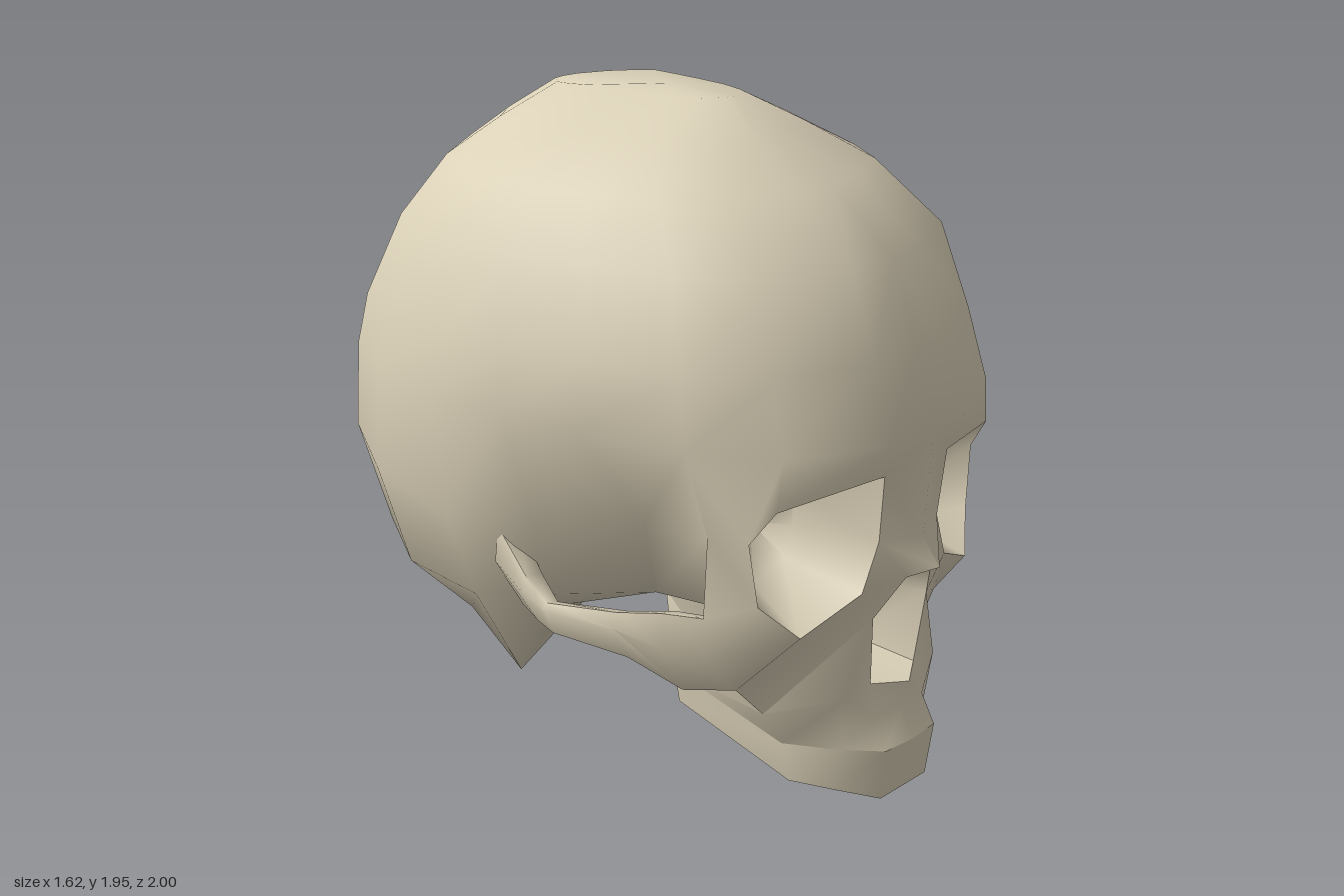
import * as THREE from 'three';
import { toCreasedNormals } from 'three/addons/utils/BufferGeometryUtils.js';

const bone = new THREE.MeshStandardMaterial({ color: 0xdbd1b8, side: THREE.DoubleSide });

// Triangles between rows of points; rows run downward, columns rightward as seen from outside
function loft(rows, closed = false) {
  const tris = [];
  const add = (a, b, c) => {
    const [A, B, C] = [a, b, c].map((p) => new THREE.Vector3(...p));
    if (B.clone().sub(A).cross(C.clone().sub(A)).length() > 1e-6) tris.push([a, b, c]);
  };
  for (let i = 0; i < rows.length - 1; i++) {
    const up = rows[i], down = rows[i + 1], n = up.length;
    for (let j = 0; j < (closed ? n : n - 1); j++) {
      const k = (j + 1) % n;
      add(up[j], down[j], down[k]);
      add(up[j], down[k], up[k]);
    }
  }
  return tris;
}

// Joins patches of the left half with their mirror image into one smooth mesh
function symmetric(name, crease, ...patches) {
  const pos = [];
  for (const t of patches.flat()) {
    for (const p of t) pos.push(...p);
    for (const p of [t[0], t[2], t[1]]) pos.push(-p[0], p[1], p[2]);
  }
  const g = new THREE.BufferGeometry();
  g.setAttribute('position', new THREE.Float32BufferAttribute(pos, 3));
  const mesh = new THREE.Mesh(toCreasedNormals(g, crease), bone);
  mesh.name = name;
  return mesh;
}

// Moves a loop towards a point, for hollows
const shrink = (loop, c, s) => loop.map((p) => p.map((v, i) => c[i] + (v - c[i]) * s[i]));
const fill = (loop, c) => loop.map(() => c);

// Half outline of the braincase seen from above, from brow to back of head
const outline = [[0, 0.97], [0.18, 0.95], [0.48, 0.82], [0.63, 0.6], [0.72, 0.3], [0.775, 0.05],
  [0.81, -0.18], [0.73, -0.48], [0.6, -0.72], [0.26, -0.96], [0, -1]];

// One ring of the vault; its front can be lowered and its back dropped
function level(y, front, back, width, tilt = 0, drop = 0) {
  return outline.map(([x, z]) => {
    const d = z + 0.18;
    const nz = -0.18 + (d > 0 ? (d / 1.15) * (front + 0.18) : (d / 0.82) * (-0.18 - back));
    return [(x * width) / 0.81, y - tilt * Math.max(0, d) - drop * Math.max(0, -d), nz];
  });
}

export function createModel() {
  const skull = new THREE.Group();
  skull.name = 'skull';

  // Braincase: vault rings, then temple, lower and base rings behind the face
  const vault = [
    level(1.945, 0.25, -0.41, 0.15, 0, 0.03),
    level(1.855, 0.41, -0.54, 0.36, 0, 0.03),
    level(1.745, 0.6, -0.64, 0.57),
    level(1.57, 0.81, -0.78, 0.71),
    level(1.32, 0.9, -0.94, 0.775),
    level(1.17, 0.965, -0.97, 0.81, 0.06),
  ];
  vault.unshift(fill(outline, [0, 1.95, 0]));
  const brow = vault[vault.length - 1];
  const temple = [[0.56, 0.87, 0.62], [0.52, 0.83, 0.36], [0.68, 0.82, 0.08], [0.775, 0.8, -0.16],
    [0.725, 0.85, -0.5], [0.58, 0.9, -0.74], [0.26, 0.94, -0.95], [0, 0.95, -1]];
  const lower = [[0.42, 0.6, 0.56], [0.38, 0.56, 0.28], [0.6, 0.56, 0.05], [0.71, 0.55, -0.12],
    [0.67, 0.56, -0.43], [0.5, 0.58, -0.69], [0.24, 0.6, -0.88], [0, 0.61, -0.93]];
  const base = [[0.28, 0.52, 0.48], [0.24, 0.5, 0.2], [0.45, 0.46, -0.02], [0.53, 0.25, -0.12],
    [0.47, 0.36, -0.38], [0.31, 0.37, -0.51], [0.15, 0.36, -0.5], [0, 0.37, -0.52]];
  const midline = base.map(([, , z]) => [0, z > -0.3 ? 0.5 : 0.4, z]);
  midline[7] = base[7];

  // Shared points of the face
  const noseTip = [0, 0.71, 1], noseSide = [0.06, 0.68, 0.93], noseWide = [0.13, 0.56, 0.87];
  const noseFoot = [0.105, 0.345, 0.85], noseSpine = [0, 0.335, 0.91];
  const cheekTop = [0.6, 0.65, 0.64], cheekMid = [0.6, 0.54, 0.66], cheekLow = [0.48, 0.4, 0.66];
  const jawBack = [0.24, 0.5, 0.2];

  // Eye socket rim, clockwise from the nose, with the face around it
  const rim = [[0.14, 0.8, 0.89], [0.15, 1, 0.91], [0.5, 0.97, 0.81], [0.53, 0.87, 0.74],
    [0.5, 0.68, 0.75], [0.4, 0.575, 0.82], [0.2, 0.66, 0.88]];
  const rimSteps = [0, 1, 1, 2, 3, 3, 4, 4, 5, 6, 6, 0].map((i) => rim[i]);
  const frame = [[0, 0.79, 0.94], brow[0], brow[1], brow[2], brow[3], temple[0], cheekTop, cheekMid, cheekLow,
    noseWide, noseSide, noseTip];

  // Upper jaw and tooth row
  const jawTop = [noseSpine, noseFoot, noseWide, cheekLow, jawBack];
  const jawMid = [[0, 0.25, 0.89], [0.11, 0.25, 0.88], [0.22, 0.33, 0.84], [0.37, 0.29, 0.67], [0.29, 0.39, 0.26]];
  const gum = [[0, 0.16, 0.93], [0.12, 0.16, 0.92], [0.205, 0.165, 0.82], [0.295, 0.175, 0.68], [0.32, 0.3, 0.3]];
  const biting = [[0, 0, 0.9], [0.11, 0, 0.9], [0.2, 0.03, 0.8], [0.285, 0.06, 0.7], [0.31, 0.2, 0.31]];
  const inner = [[0, 0.04, 0.8], [0.07, 0.04, 0.8], [0.14, 0.06, 0.73], [0.2, 0.1, 0.65], [0.22, 0.24, 0.32]];
  const palate = inner.map(([, y, z]) => [0, y + 0.1, z]);

  // Cheekbone arch: outer x, top, bottom, z, thickness; it starts on the cheek and ends in the temple
  const arch = [[0.66, 0.65, 0.39, 0.53, 0.07], [0.7, 0.63, 0.48, 0.4, 0.06],
    [0.725, 0.6, 0.5, 0.16, 0.06], [0.725, 0.66, 0.51, 0.08, 0.08], [0.72, 0.78, 0.52, -0.03, 0.1]]
    .map(([x, top, bottom, z, t]) => {
      const lean = (top - bottom) * 0.4;
      return [[x - lean, bottom, z], [x, (top + bottom) / 2 + 0.03, z], [x - 0.015, top, z],
        [x - t, top - 0.01, z], [x - t - lean, bottom + 0.02, z]];
    });
  arch.unshift([cheekLow, cheekMid, cheekTop, [0.53, 0.63, 0.64], [0.44, 0.42, 0.64]]);

  skull.add(symmetric('craniumAndFace', 1.2,
    loft(vault),
    loft([brow.slice(3), temple, lower, base, midline]),
    loft([frame, rimSteps], true),
    loft([jawTop, jawMid, gum]),
    loft([[lower[0], lower[1]], [cheekLow, jawBack]]),
    loft([[cheekTop, temple[0]], [cheekLow, lower[0]]]),
    loft(arch, true)));

  // Hollow eye sockets
  const socket = [0.27, 0.8, 0.56];
  skull.add(symmetric('eyeSockets', 1.2,
    loft([rim, shrink(rim, socket, [0.6, 0.6, 0.2]), fill(rim, [0.25, 0.8, 0.52])], true)));

  // Nasal opening
  const nose = [noseTip, noseSide, noseWide, noseFoot, noseSpine];
  const noseBack = shrink(nose, [0, 0.5, 0.6], [0.8, 0.8, 0.1]);
  skull.add(symmetric('nasalCavity', 0.9, loft([nose, noseBack, fill(nose, [0, 0.5, 0.61])])));

  // Tooth row with palate and closed rear
  skull.add(symmetric('upperTeethAndPalate', 0.9,
    loft([gum, biting, inner, palate]),
    loft([[jawBack, [0, 0.5, 0.2]], [jawMid[4], [0, 0.46, 0.23]], [gum[4], [0, 0.42, 0.26]],
      [biting[4], palate[4]], [inner[4], palate[4]]])));

  return skull;
}
